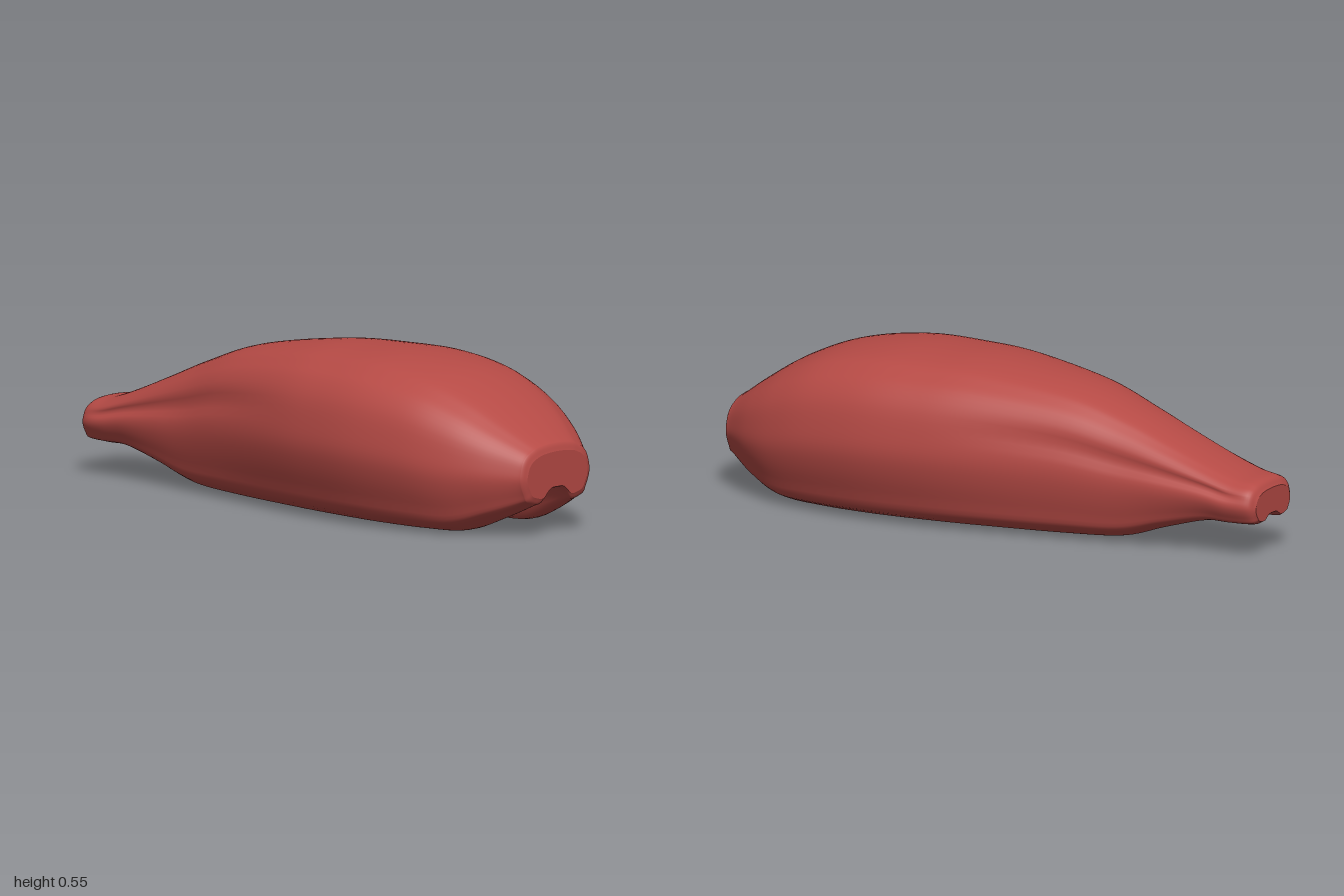
import * as THREE from 'three';

// Stations along the body: x, top, bottom, half width, groove roof, groove half width
const STATIONS = [
  [-1, 0.225, 0.122, 0.112, 0.14, 0.05],
  [-0.975, 0.252, 0.112, 0.14, 0.13, 0.06],
  [-0.9, 0.265, 0.11, 0.155, 0.125, 0.065],
  [-0.8, 0.30, 0.107, 0.163, 0.127, 0.07],
  [-0.65, 0.363, 0.067, 0.18, 0.13, 0.085],
  [-0.5, 0.427, 0.022, 0.203, 0.137, 0.1],
  [-0.3, 0.496, 0.01, 0.25, 0.145, 0.115],
  [0, 0.543, 0.006, 0.325, 0.152, 0.12],
  [0.2, 0.552, 0.004, 0.359, 0.156, 0.12],
  [0.4, 0.55, 0.002, 0.372, 0.157, 0.12],
  [0.6, 0.519, 0.002, 0.354, 0.157, 0.115],
  [0.75, 0.461, 0.009, 0.315, 0.157, 0.105],
  [0.87, 0.388, 0.055, 0.257, 0.157, 0.09],
  [0.97, 0.317, 0.103, 0.182, 0.157, 0.075],
  [0.99, 0.304, 0.112, 0.168, 0.158, 0.072],
  [1, 0.28, 0.13, 0.148, 0.162, 0.065],
];

// Outer half section: share of half width, share of height
const PROFILE = [
  [0, 1], [0.27, 0.99], [0.54, 0.955], [0.67, 0.91], [0.8, 0.85], [0.915, 0.74],
  [0.98, 0.58], [1, 0.45], [0.965, 0.32], [0.89, 0.18], [0.825, 0.08], [0.67, 0.025], [0.54, 0],
];

// Underside groove: share of groove half width, share of groove depth
const GROOVE = [[1, 0.06], [0.8, 0.4], [0.6, 0.75], [0.4, 0.97], [0, 1]];

const RING = 112;
const STEPS = 6;

// Closed cross-section, running from the top down the +z side and back
function section([x, top, bottom, half, roof, groove]) {
  const h = top - bottom;
  const side = [
    ...PROFILE.map(([z, y]) => [z * half, bottom + y * h]),
    ...GROOVE.map(([z, y]) => [z * groove, bottom + y * (roof - bottom)]),
  ];
  const mirrored = side.slice(1, -1).reverse().map(([z, y]) => [-z, y]);
  const curve = new THREE.CatmullRomCurve3(
    [...side, ...mirrored].map(([z, y]) => new THREE.Vector3(x, y, z)), true, 'centripetal');

  // Shallow crease along both flanks, fading towards the middle
  const fade = 1 - THREE.MathUtils.smoothstep(x, -0.7, 0.15);
  const start = THREE.MathUtils.smoothstep(x, -1, -0.85);
  return Array.from({ length: RING }, (_, j) => {
    const p = curve.getPoint(j / RING);
    const t = (p.y - bottom) / h;
    p.z *= 1 - 0.09 * fade * start * Math.exp(-(((t - 0.66) / 0.07) ** 2));
    return p;
  });
}

function makeGeometry(points, index) {
  const geometry = new THREE.BufferGeometry().setFromPoints(points);
  geometry.setIndex(index);
  geometry.computeVertexNormals();
  return geometry;
}

// Smooth interpolation of the station values
function buildRings() {
  const spline = (a, b) => new THREE.CatmullRomCurve3(
    STATIONS.map((s) => new THREE.Vector3(s[0], s[a], s[b])), false, 'catmullrom', 0.5);
  const heights = spline(1, 2);
  const widths = spline(3, 5);
  const roofs = spline(4, 5);
  const count = (STATIONS.length - 1) * STEPS;
  return Array.from({ length: count + 1 }, (_, i) => {
    const a = heights.getPoint(i / count);
    const b = widths.getPoint(i / count);
    const c = roofs.getPoint(i / count);
    return section([a.x, a.y, a.z, b.y, c.y, b.z]);
  });
}

function skin(rings) {
  const index = [];
  for (let i = 0; i < rings.length - 1; i++) {
    for (let j = 0; j < RING; j++) {
      const k = (j + 1) % RING;
      const a = i * RING + j, b = i * RING + k;
      index.push(a, b, a + RING, b, b + RING, a + RING);
    }
  }
  return makeGeometry(rings.flat(), index);
}

// Flat end, fanned from a point above the groove
function cap(ring, forward) {
  const centre = new THREE.Vector3(ring[0].x, (ring[0].y + ring[RING / 2].y) / 2, 0);
  const index = [];
  for (let j = 0; j < RING; j++) {
    const a = j + 1, b = ((j + 1) % RING) + 1;
    index.push(0, ...(forward ? [a, b] : [b, a]));
  }
  return makeGeometry([centre, ...ring], index);
}

export function createModel() {
  const model = new THREE.Group();
  model.name = 'groovedPod';
  const red = new THREE.MeshStandardMaterial({ color: 0xb54a45, side: THREE.DoubleSide });
  red.name = 'muted red';

  const add = (name, geometry) => {
    const mesh = new THREE.Mesh(geometry, red);
    mesh.name = name;
    model.add(mesh);
  };

  const rings = buildRings();
  add('body', skin(rings));
  add('broadEnd', cap(rings[rings.length - 1], true));
  add('narrowEnd', cap(rings[0], false));
  return model;
}
